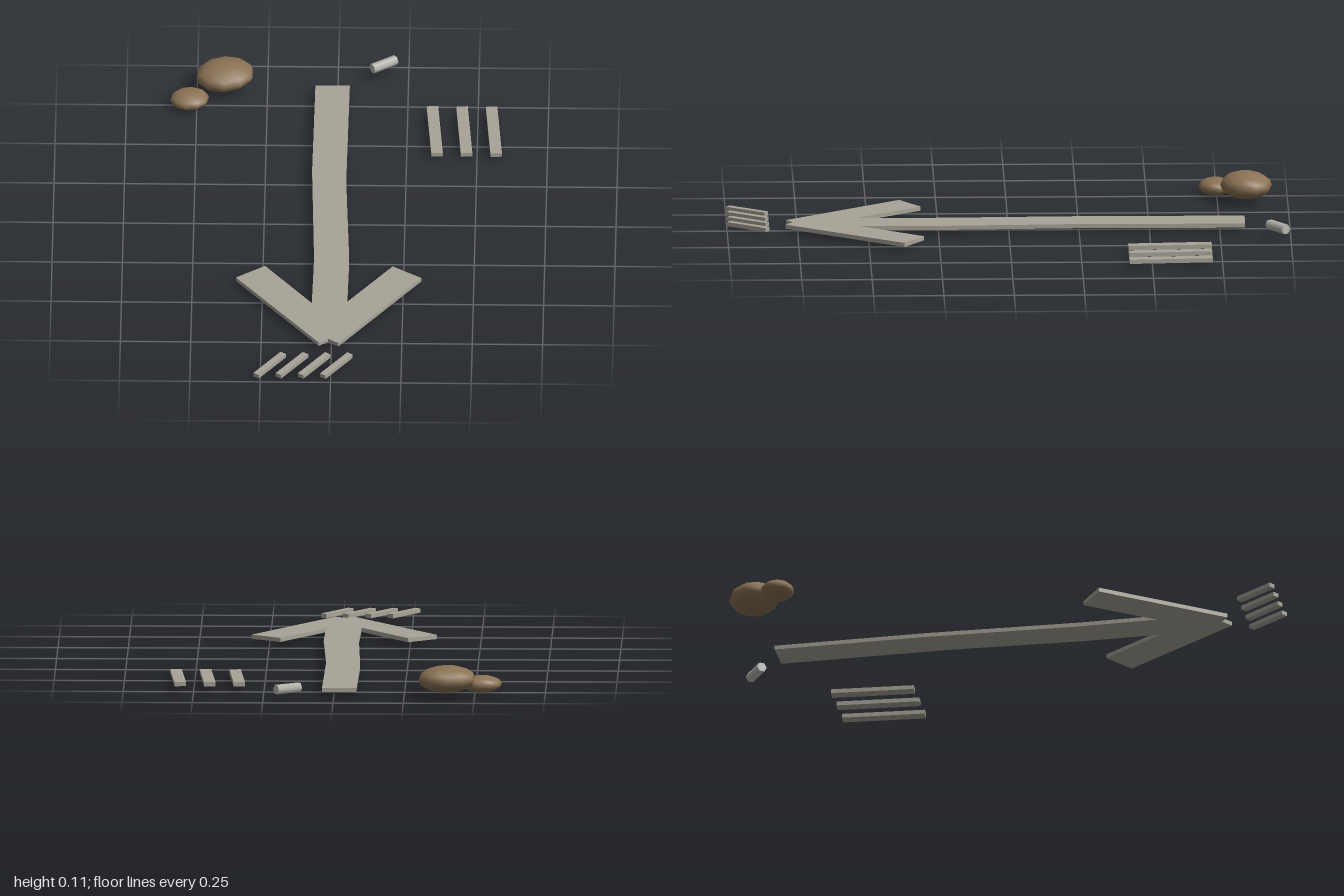
import * as THREE from 'three';

const stone = new THREE.MeshStandardMaterial({ color: 0xa8a498 });
stone.name = 'pale stone';
const earth = new THREE.MeshStandardMaterial({ color: 0x8b7355 });
earth.name = 'brown rock';
const chalk = new THREE.MeshStandardMaterial({ color: 0xb8b8b0 });
chalk.name = 'chalk grey';

const BASE = 0.014, THICK = 0.015;

export function createModel() {
  const group = new THREE.Group();
  const add = (name, geometry, material, x, y, z, turn = 0) => {
    const mesh = new THREE.Mesh(geometry, material);
    mesh.name = name;
    mesh.position.set(x, y, z);
    mesh.rotation.y = THREE.MathUtils.degToRad(turn);
    group.add(mesh);
    return mesh;
  };

  // Arrow with a slightly crooked shaft, outlined as [x, z]
  const outline = [
    [-0.08, -0.84], [-0.084, -0.3], [-0.069, 0.26], [-0.073, 0.54],
    [-0.242, 0.307], [-0.345, 0.382], [-0.045, 0.79], [-0.013, 0.765],
    [0.025, 0.793], [0.314, 0.376], [0.211, 0.304], [0.053, 0.53],
    [0.056, 0.26], [0.038, -0.24], [0.042, -0.84],
  ].map(([x, z]) => new THREE.Vector2(x, -z));
  const arrow = new THREE.ExtrudeGeometry(new THREE.Shape(outline), { depth: THICK, bevelEnabled: false });
  arrow.rotateX(-Math.PI / 2);
  add('arrow', arrow, stone, 0, BASE, 0);

  // Three long tally strips
  const strip = new THREE.BoxGeometry(0.041, THICK, 0.297);
  for (let i = 0; i < 3; i++) {
    add('tallyStrip', strip, stone, 0.348 + i * 0.105, BASE + THICK / 2, -0.566, 4);
  }

  // Four short slanted strips beyond the arrow tip
  const dash = new THREE.BoxGeometry(0.024, THICK, 0.165);
  for (let i = 0; i < 4; i++) {
    add('slantedStrip', dash, stone, -0.217 + i * 0.079, BASE + THICK / 2, 0.925, -35);
  }

  // Six-sided stick of chalk lying on its side
  const stick = new THREE.CylinderGeometry(0.0185, 0.0185, 0.1, 6);
  stick.rotateY(Math.PI / 6);
  stick.rotateX(Math.PI / 2);
  add('chalkStick', stick, chalk, 0.162, 0.045, -0.953, -55);

  // Two flattened rocks
  const pebble = new THREE.SphereGeometry(1, 10, 8);
  add('largeRock', pebble, earth, -0.402, 0.065, -0.852, 20).scale.set(0.106, 0.048, 0.09);
  add('smallRock', pebble, earth, -0.526, 0.031, -0.746, 10).scale.set(0.07, 0.031, 0.06);

  return group;
}
